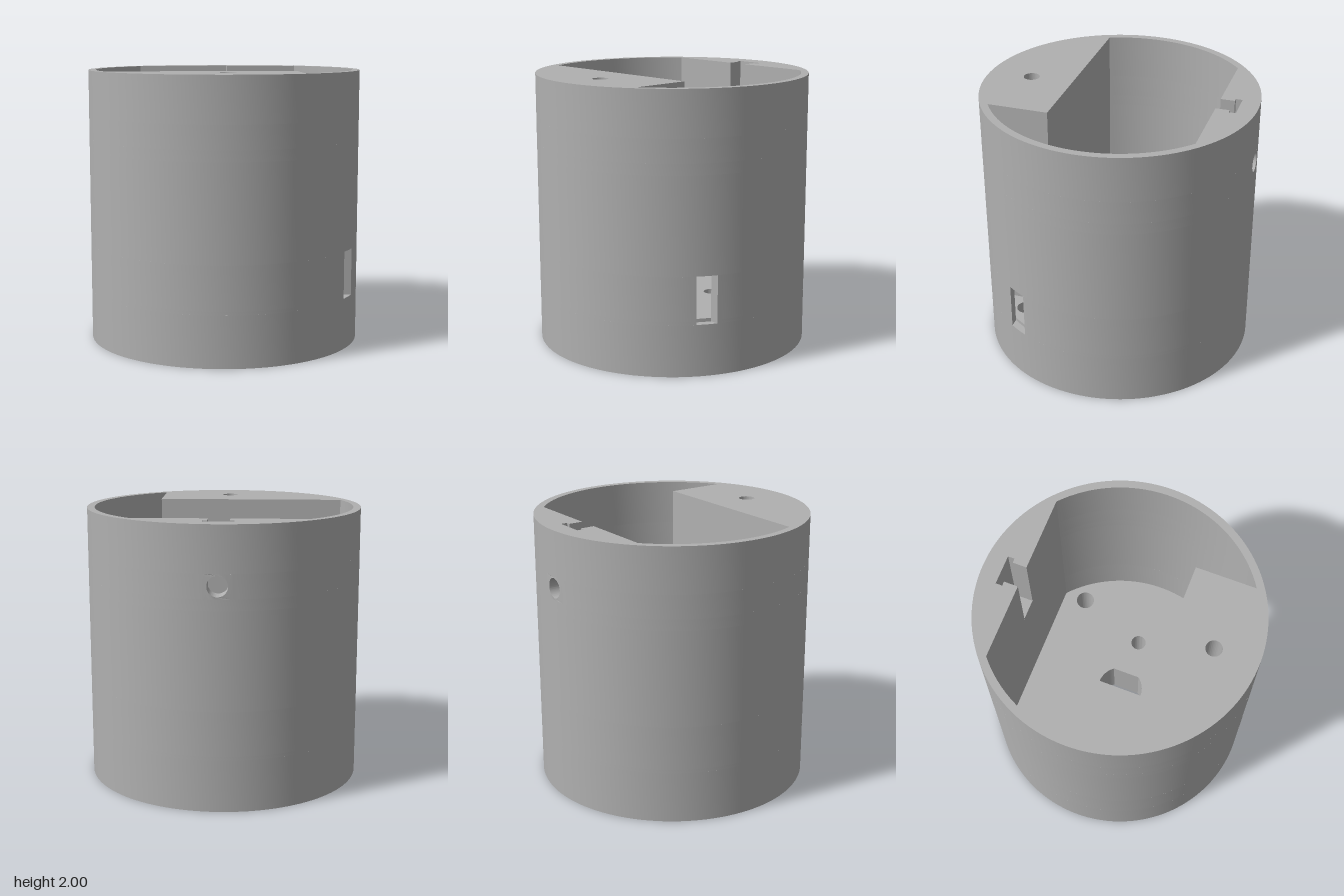
import * as THREE from 'three';
import { toCreasedNormals } from 'three/addons/utils/BufferGeometryUtils.js';

const R = 1, RI = 0.945;              // outer and cavity radius
const STEP = Math.PI * 2 / 120;
const PI = Math.PI;

// Points [x, z] along an arc, ends included
function arc(r, a0, a1, cx = 0, cz = 0) {
  const n = Math.max(2, Math.ceil(Math.abs(a1 - a0) / STEP));
  return Array.from({ length: n + 1 }, (_, i) => {
    const a = a0 + (a1 - a0) * i / n;
    return [cx + r * Math.cos(a), cz + r * Math.sin(a)];
  });
}
const vec = pts => pts.map(p => new THREE.Vector2(p[0], p[1]));
const circle = (x, z, r) => arc(r, 0, PI * 2, x, z).slice(0, -1);

function makeShape(outline, holes = []) {
  const s = new THREE.Shape(vec(outline));
  for (const h of holes) s.holes.push(new THREE.Path(vec(h)));
  return s;
}

export function createModel() {
  const group = new THREE.Group();
  const grey = new THREE.MeshStandardMaterial({ color: 0xb0b0b0 });
  grey.name = 'grey';

  function add(name, geo) {
    const mesh = new THREE.Mesh(toCreasedNormals(geo, 0.5), grey);
    mesh.name = name;
    group.add(mesh);
  }
  // A horizontal slab of the body between two heights
  function layer(name, y0, y1, shape) {
    const g = new THREE.ExtrudeGeometry(shape, { depth: y1 - y0, bevelEnabled: false });
    g.rotateX(PI / 2);
    g.translate(0, y1, 0);
    add(name, g);
  }

  const disc = circle(0, 0, R);

  // Floor holes: three round ones and a D-shaped one
  const dAngle = Math.acos(0.14 / 0.175);
  const dHole = [...arc(0.175, -PI / 2, -dAngle), ...arc(0.175, dAngle, PI / 2)];
  const floorHoles = [
    circle(0.613, -0.543, 0.07), circle(0.613, 0.54, 0.07),
    circle(0.42, 0, 0.058), dHole,
  ];

  // Side slot, cut straight through the wall
  const zA = 0.44, zB = 0.57;
  const outerA = Math.asin(zA), outerB = Math.asin(zB);
  const innerA = Math.asin(zA / RI), innerB = Math.asin(zB / RI);
  const slotOuter = arc(R, outerB, outerA + 2 * PI);

  // Cavity outline pieces, running from the front right corner round the back
  const frontRight = Math.atan2(0.803, 0.495);
  const backRight = Math.atan2(-0.715, 0.618);
  const backLeft = -PI - backRight;
  const frontLeft = Math.atan2(0.365, -0.872) - 2 * PI;
  const left = [...arc(RI, backLeft, frontLeft), [0.495, 0.365]];
  const right = arc(RI, frontRight, backRight);
  const teeRight = [[0.076, -0.715], [0.076, -0.817], [0.108, -0.817], [0.108, -0.865]];
  const teeLeft = teeRight.map(([x, z]) => [-x, z]).reverse();
  const plainCavity = [...right, ...left];
  const teeCavity = [...right, ...teeRight, ...teeLeft, ...left];

  // Floor, with the foot of the side slot in its upper rim
  layer('floor', 0, 0.375, makeShape(disc, floorHoles));
  layer('floorRim', 0.375, 0.4,
    makeShape([...slotOuter, ...arc(RI, innerA, innerB)], floorHoles));

  // Wall broken by the side slot
  layer('slottedWall', 0.4, 0.72, makeShape([
    ...slotOuter, ...arc(RI, innerA, backRight), ...left, ...arc(RI, frontRight, innerB),
  ]));

  // Plain wall, then wall with the T-shaped channel
  layer('middleWall', 0.72, 1.42, makeShape(disc, [plainCavity]));
  layer('channelWall', 1.42, 1.5, makeShape(disc, [teeCavity]));

  // Wall left open at the back for the panel with the round hole
  const w = 0.1, gap = Math.asin(w);
  layer('openBackWall', 1.5, 1.67, makeShape([
    ...arc(R, -PI / 2 + gap, 1.5 * PI - gap), [-w, -0.865],
    ...teeLeft, ...left, ...right, ...teeRight, [w, -0.865],
  ]));

  // Top rim with a blind screw hole in the front block
  layer('topWall', 1.67, 2, makeShape(disc, [teeCavity, circle(-0.02, 0.68, 0.058)]));

  // Back panel with the round hole, its outer face bent to the cylinder
  const row = Array.from({ length: 9 }, (_, i) => -w + 2 * w * i / 8);
  const panel = makeShape(
    [...row.map(x => [x, 1.5]), ...row.map(x => [-x, 1.67])],
    [circle(0, 1.586, 0.072)]);
  const g = new THREE.ExtrudeGeometry(panel, { depth: 0.135, bevelEnabled: false });
  g.translate(0, 0, -1);
  const p = g.attributes.position;
  for (let i = 0; i < p.count; i++) {
    if (p.getZ(i) < -0.95) p.setZ(i, -Math.sqrt(1 - p.getX(i) ** 2));
  }
  add('backHolePanel', g);

  return group;
}
